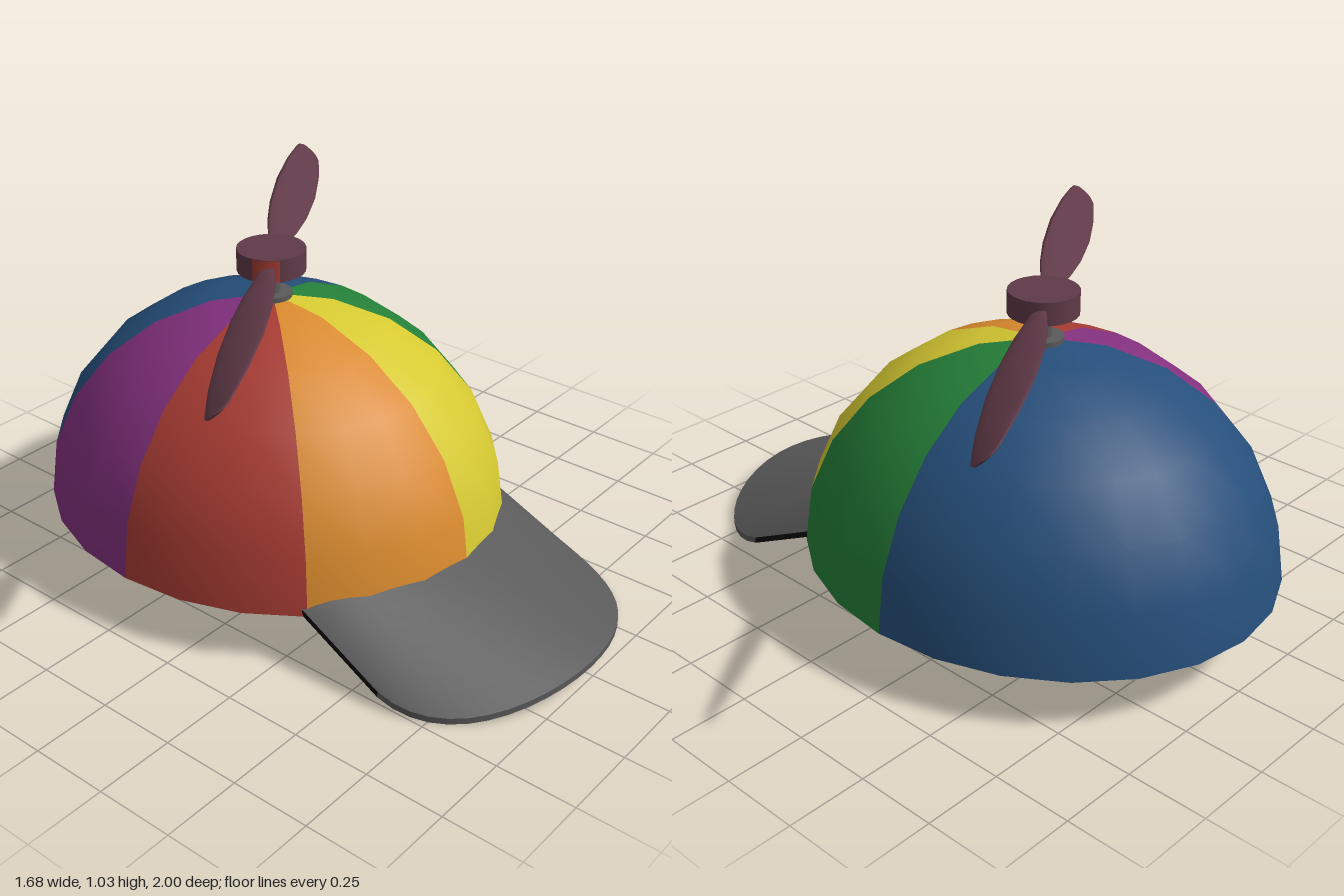
import * as THREE from 'three';

const mat = (name, color, side = THREE.FrontSide) => {
  const m = new THREE.MeshStandardMaterial({ color, side });
  m.name = name;
  return m;
};

// Grid surface from a rule fn(u, v) -> [x, y, z]; it faces dP/du x dP/dv
function surface(nu, nv, fn) {
  const pos = [], idx = [];
  for (let i = 0; i <= nu; i++)
    for (let j = 0; j <= nv; j++) pos.push(...fn(i / nu, j / nv));
  for (let i = 0; i < nu; i++)
    for (let j = 0; j < nv; j++) {
      const a = i * (nv + 1) + j, b = a + nv + 1;
      idx.push(a, b, b + 1, a, b + 1, a + 1);
    }
  const g = new THREE.BufferGeometry();
  g.setAttribute('position', new THREE.Float32BufferAttribute(pos, 3));
  g.setIndex(idx);
  g.computeVertexNormals();
  return g;
}

export function createModel() {
  const M = {
    red: mat('red', 0xa83c33),
    orange: mat('orange', 0xda8b2e),
    yellow: mat('yellow', 0xd6c932),
    green: mat('green', 0x258039),
    blue: mat('blue', 0x264f7b),
    purple: mat('purple', 0x84317f),
    grey: mat('grey', 0x5a5a5a),
    black: mat('black', 0x0c0c0c),
    maroon: mat('maroon', 0x603a48),
  };
  const model = new THREE.Group();
  model.name = 'propellerCap';
  const add = (parent, name, geo, material) => {
    const m = new THREE.Mesh(geo, material);
    m.name = name;
    parent.add(m);
    return m;
  };
  const CX = -0.005, CZ = -0.225, RX = 0.685, RZ = 0.775, BASE = 0.18;
  const rad = THREE.MathUtils.degToRad;

  // Crown: unit half dome stretched to an oval, cut into coloured panels
  const crown = new THREE.Group();
  crown.name = 'crown';
  crown.position.set(CX, BASE, CZ);
  crown.scale.set(RX, 0.7, RZ);
  model.add(crown);
  const arc = (r) => Array.from({ length: 7 }, (_, i) => {
    const a = (i / 6) * Math.PI / 2;
    return new THREE.Vector2(i === 6 ? 0 : r * Math.cos(a), r * Math.sin(a));
  });
  const panels = [['yellow', 0, 45], ['green', 45, 45], ['blue', 90, 135],
    ['purple', 225, 45], ['red', 270, 45], ['orange', 315, 45]];
  for (const [c, start, span] of panels)
    add(crown, c + 'Panel', new THREE.LatheGeometry(arc(1), span / 15, rad(start), rad(span)), M[c]);
  add(crown, 'lining', new THREE.LatheGeometry(arc(0.965).reverse(), 24), M.black);
  const ring = (x0, y0, x1, y1) =>
    new THREE.LatheGeometry([new THREE.Vector2(x0, y0), new THREE.Vector2(x1, y1)], 24);
  add(crown, 'crownRim', ring(0.955, 0, 1, 0), M.black);
  add(crown, 'sweatband', ring(0.945, 0.085, 0.955, 0), M.grey);

  // Brim: ruled from the front of the crown to a half-oval edge, sides drooping
  const BX = -0.02;
  const brimPoint = (s, t, drop = 0) => {
    const k = 2 * s - 1, th = k * rad(46), ph = k * Math.PI / 2;
    const xi = 0.965 * RX * Math.sin(th), zi = CZ + 0.965 * RZ * Math.cos(th);
    const yi = 0.235 - 0.025 * k ** 6;
    const xo = 0.492 * Math.sin(ph), zo = 0.6 + 0.4 * Math.cos(ph);
    const yo = 0.235 - 0.36 * (zo - 0.545) - 0.63 * xo * xo;
    return [BX + xi + (xo - xi) * t, yi + (yo - yi) * t - drop, zi + (zo - zi) * t];
  };
  const THICK = 0.02;
  const brim = new THREE.Group();
  brim.name = 'brim';
  model.add(brim);
  add(brim, 'brimTop', surface(8, 24, (t, s) => brimPoint(s, t)), M.grey);
  add(brim, 'brimUnderside', surface(24, 8, (s, t) => brimPoint(s, t, THICK)), M.black);
  add(brim, 'brimFrontEdge', surface(24, 1, (s, v) => brimPoint(s, 1, THICK * (1 - v))), M.grey);
  add(brim, 'brimRightEdge', surface(8, 1, (t, v) => brimPoint(0, t, THICK * (1 - v))), M.black);
  add(brim, 'brimLeftEdge', surface(8, 1, (t, v) => brimPoint(1, 1 - t, THICK * (1 - v))), M.black);

  // Propeller: base disc, stem, hub and two pitched blades
  const prop = new THREE.Group();
  prop.name = 'propeller';
  prop.position.set(CX, 0, CZ);
  model.add(prop);
  const cyl = (name, r, y0, y1, m) => {
    add(prop, name, new THREE.CylinderGeometry(r, r, y1 - y0, 24), m).position.y = (y0 + y1) / 2;
  };
  cyl('stemBase', 0.063, 0.865, 0.888, M.grey);
  cyl('stem', 0.026, 0.88, 0.965, M.grey);
  cyl('hub', 0.107, 0.96, 1.032, M.maroon);
  add(prop, 'hubMark',
    new THREE.CylinderGeometry(0.109, 0.109, 0.07, 6, 1, true, rad(-80), rad(45)), M.red).position.y = 0.996;

  // Blade stations: distance, half width across, half rise, half thickness
  const stations = [
    [0.06, 0.02, 0.006, 0.008], [0.12, 0.026, 0.009, 0.009], [0.25, 0.048, 0.018, 0.01],
    [0.4, 0.061, 0.027, 0.01], [0.6, 0.065, 0.035, 0.009], [0.8, 0.055, 0.037, 0.008],
    [0.92, 0.042, 0.035, 0.007], [0.97, 0.035, 0.031, 0.006], [0.99, 0.024, 0.022, 0.005],
    [0.995, 0.0005, 0.0005, 0.0005]];
  const bladeGeo = surface(stations.length - 1, 12, (u, v) => {
    const [x, h, rise, th] = stations[Math.round(u * (stations.length - 1))];
    const a = v * Math.PI * 2, len = Math.hypot(h, rise);
    const c = Math.cos(a), s = Math.sin(a) * th / len;
    return [x, -rise * c + h * s, h * c + rise * s];
  });
  for (const [name, turn] of [['leftBlade', 0], ['rightBlade', Math.PI]]) {
    const b = add(prop, name, bladeGeo, M.maroon);
    b.position.y = 0.997;
    b.rotation.y = rad(33.5) + turn;
  }
  return model;
}
